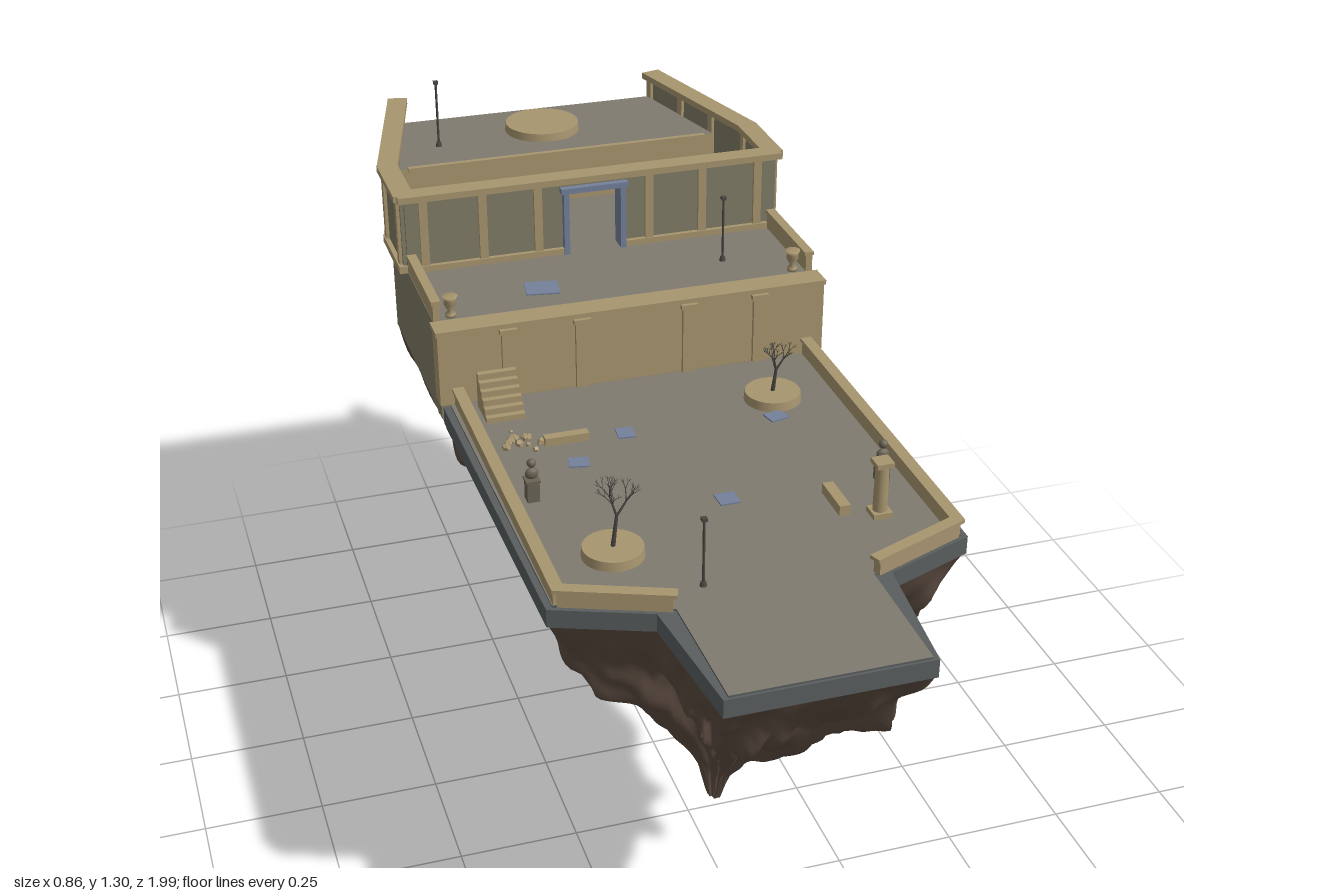
import * as THREE from 'three';

const mat = (color) => new THREE.MeshStandardMaterial({ color });
const tan = mat(0xa8956f), olive = mat(0x807b66), floorGrey = mat(0x7f7a6f), slate = mat(0x5a5e5f),
  rock = mat(0x5e4d42), blue = mat(0x74819a), dark = mat(0x4a4842), bronze = mat(0x6a6454);
rock.side = THREE.DoubleSide;

let seed = 11;
const rnd = () => (seed = (seed * 16807) % 2147483647) / 2147483647;
const mirror = (half) => [...half, ...half.slice().reverse().map(([x, z]) => [-x, z])];

export function createModel() {
  const root = new THREE.Group();

  const add = (name, geo, material, x = 0, y = 0, z = 0, parent = root) => {
    const m = new THREE.Mesh(geo, material);
    m.name = name;
    m.position.set(x, y, z);
    parent.add(m);
    return m;
  };
  // Box standing on y
  const box = (name, w, h, d, material, x, y, z, parent) =>
    add(name, new THREE.BoxGeometry(w, h, d), material, x, y + h / 2, z, parent);
  const disc = (name, r0, r1, h, material, x, y, z, parent, n = 24) =>
    add(name, new THREE.CylinderGeometry(r1, r0, h, n), material, x, y + h / 2, z, parent);
  // Vertical prism over an [x, z] outline
  const prism = (name, outline, y0, y1, material) => {
    const shape = new THREE.Shape(outline.map(([x, z]) => new THREE.Vector2(x, z)));
    const geo = new THREE.ExtrudeGeometry(shape, { depth: y1 - y0, bevelEnabled: false });
    geo.rotateX(Math.PI / 2);
    return add(name, geo, material, 0, y1, 0);
  };
  // Straight wall between two [x, z] points
  const wall = (name, a, b, t, y0, y1, material, extra = 0) => {
    const dx = b[0] - a[0], dz = b[1] - a[1];
    const m = box(name, Math.hypot(dx, dz) + extra, y1 - y0, t, material, (a[0] + b[0]) / 2, y0, (a[1] + b[1]) / 2);
    m.rotation.y = -Math.atan2(dz, dx);
    return m;
  };
  // Tapered round bar between two points
  const stick = (name, a, b, r0, r1, material, parent) => {
    const d = b.clone().sub(a);
    const m = add(name, new THREE.CylinderGeometry(r1, r0, d.length(), 6), material, 0, 0, 0, parent);
    m.position.copy(a).addScaledVector(d, 0.5);
    m.quaternion.setFromUnitVectors(new THREE.Vector3(0, 1, 0), d.normalize());
  };

  // Hanging rock: the outline shrinks down to a bent tip, with sharp ridges
  const hangingRock = (name, outline, yTop, tip, hook, scales, phase) => {
    const N = 200, M = 48, pos = [], idx = [];
    const path = new THREE.CurvePath();
    outline.forEach(([x, z], i) => {
      const [x2, z2] = outline[(i + 1) % outline.length];
      path.add(new THREE.LineCurve(new THREE.Vector2(x, z), new THREE.Vector2(x2, z2)));
    });
    const ring = path.getSpacedPoints(N);
    const crest = (v) => 0.64 - Math.abs(Math.sin(v));
    for (let j = 0; j <= M; j++) {
      const t = j / M, f = t * (scales.length - 1), k = Math.min(Math.floor(f), scales.length - 2);
      const s = THREE.MathUtils.lerp(scales[k], scales[k + 1], f - k);
      const bend = Math.max(0, t - 0.9) * 10 * hook;
      for (let i = 0; i < N; i++) {
        const a = (i / N) * Math.PI * 2;
        const w = a + 0.12 * Math.sin(t * 6 + phase + 3 * a) + 0.2 * Math.sin(2 * a + phase);
        const ridge = 0.6 * crest(9.5 * w + phase) + 0.45 * crest(5.5 * w + 2 * phase + t)
          + 0.3 * crest(17 * w + 3 * t) + 0.25 * Math.sin(13 * a + 17 * t + phase) + 0.22 * Math.sin(31 * a - 24 * t);
        const r = s * (1 + 0.14 * ridge * Math.min(1, t * 3.5));
        pos.push(tip[0] * t - bend + ring[i].x * r,
          yTop + (tip[1] - yTop) * t + 0.012 * Math.sin(11 * a + 9 * t) * Math.sin(Math.PI * t),
          tip[2] + bend + (ring[i].y - tip[2]) * r);
      }
    }
    for (let j = 0; j < M; j++) for (let i = 0; i < N; i++) {
      const a = j * N + i, b = j * N + (i + 1) % N;
      idx.push(a, b, a + N, b, b + N, a + N);
    }
    const geo = new THREE.BufferGeometry();
    geo.setAttribute('position', new THREE.Float32BufferAttribute(pos, 3));
    geo.setIndex(idx);
    geo.computeVertexNormals();
    add(name, geo, rock);
  };

  // Front terrace: slab, paved floor, low parapets
  const slab = mirror([[0.41, -0.12], [0.4, 0.65], [0.22, 0.72], [0.192, 0.99]]);
  const paving = mirror([[0.395, -0.12], [0.388, 0.645], [0.185, 0.72], [0.182, 0.985]]);
  prism('terraceSlab', slab, 0.83, 0.867, slate);
  prism('terraceFloor', paving, 0.86, 0.871, [floorGrey, slate]);
  hangingRock('frontRock', slab, 0.835, [0.012, 0.165, 0.39], 0.006,
    [1, 0.91, 0.805, 0.685, 0.545, 0.415, 0.285, 0.165, 0.075, 0.03], 0.7);
  for (const s of [-1, 1]) {
    const runs = [[[s * 0.378, -0.12], [s * 0.378, 0.645]], [[s * 0.378, 0.645], [s * 0.19, 0.72]]];
    for (const [a, b] of runs) {
      wall('terraceParapet', a, b, 0.016, 0.87, 0.9, tan);
      wall('terraceParapetCap', a, b, 0.024, 0.9, 0.907, tan, 0.015);
    }
  }

  // Rear block with paved top
  const block = mirror([[0.41, -0.14], [0.41, -0.6], [0.31, -0.985]]);
  prism('rearBlock', block, 0.83, 1.033, [floorGrey, olive]);
  hangingRock('rearRock', block, 0.835, [0, 0.005, -0.53], 0.025,
    [1, 0.92, 0.82, 0.7, 0.57, 0.45, 0.33, 0.215, 0.125, 0.06, 0.03], 2.9);

  // Retaining wall between the levels
  box('retainingWall', 0.83, 0.16, 0.045, tan, 0, 0.87, -0.145);
  box('retainingWallCap', 0.836, 0.01, 0.055, tan, 0, 1.026, -0.147);
  for (const x of [-0.27, -0.115, 0.115, 0.27]) {
    box('pilaster', 0.028, 0.15, 0.01, tan, x, 0.87, -0.119);
    box('pilasterHead', 0.036, 0.01, 0.014, tan, x, 1.016, -0.118);
  }
  for (const s of [-1, 1]) {
    wall('middleParapet', [s * 0.402, -0.18], [s * 0.402, -0.42], 0.014, 1.03, 1.068, tan);
    wall('middleParapetCap', [s * 0.402, -0.18], [s * 0.402, -0.42], 0.02, 1.068, 1.076, tan);
  }

  // Upper enclosure: panel walls, trims and pilasters, open at the back
  for (const s of [-1, 1]) {
    const p = [[0, -0.435], [0.409, -0.435], [0.409, -0.6], [0.308, -0.99]].map(([x, z]) => [s * x, z]);
    for (let i = 0; i < 3; i++) {
      const a = i ? p[i] : [s * 0.065, -0.435], b = p[i + 1];
      wall('upperWall', a, b, 0.016, 1.03, 1.195, olive);
      wall('upperWallBase', a, b, 0.036, 1.03, 1.046, tan, i ? 0.012 : 0);
      wall('upperWallRim', p[i], b, 0.044, 1.193, 1.207, tan, i ? 0.016 : 0.03);
      const stops = i === 0 ? [0.17, 0.52, 0.89] : i === 1 ? [0.1, 0.95] : [0.32, 0.64, 0.98];
      for (const t of stops) {
        const x = a[0] + (b[0] - a[0]) * t, z = a[1] + (b[1] - a[1]) * t;
        const m = box('upperPilaster', 0.018, 0.15, 0.03, tan, x, 1.045, z);
        m.rotation.y = -Math.atan2(b[1] - a[1], b[0] - a[0]);
      }
    }
    box('doorwayPost', 0.012, 0.145, 0.044, blue, s * 0.063, 1.03, -0.435);
  }
  // Open doorway head
  box('doorwayLintel', 0.148, 0.012, 0.046, blue, 0, 1.172, -0.435);
  box('doorwayPanel', 0.13, 0.016, 0.016, olive, 0, 1.18, -0.435);

  // Raised rear platform and round plinths
  const platformTop = 1.15;
  prism('rearPlatform', mirror([[0.366, -0.705], [0.295, -0.985]]), 1.03, platformTop, [floorGrey, tan]);
  wall('platformEdge', [-0.345, -0.705], [0.345, -0.705], 0.012, platformTop - 0.006, platformTop + 0.003, tan);
  disc('largePlinth', 0.085, 0.083, 0.018, tan, 0, platformTop, -0.855, root, 40);
  disc('smallPlinth', 0.046, 0.044, 0.02, tan, -0.27, 1.033, -0.615);

  // Lamp poles
  for (const [x, y, z, top] of [[-0.25, platformTop, -0.82, 1.303], [0.245, 1.033, -0.285, 1.18], [-0.117, 0.87, 0.665, 1.012]]) {
    disc('lampFoot', 0.007, 0.005, 0.01, dark, x, y, z, root, 10);
    disc('lampPole', 0.0026, 0.0026, top - y, dark, x, y, z, root, 8);
    box('lampHead', 0.01, 0.007, 0.01, dark, x, top - 0.007, z);
  }

  // Urns on the middle level
  const urnProfile = [[0, 0], [0.011, 0], [0.011, 0.006], [0.005, 0.013], [0.013, 0.028], [0.012, 0.037], [0.016, 0.046], [0, 0.042]];
  for (const x of [-0.37, 0.37])
    add('urn', new THREE.LatheGeometry(urnProfile.map(([r, y]) => new THREE.Vector2(r, y)), 16), tan, x, 1.033, -0.195);

  // Statues on pedestals
  for (const [x, z] of [[-0.33, 0.29], [0.325, 0.42]]) {
    const g = new THREE.Group();
    g.name = 'statue';
    g.position.set(x, 0.87, z);
    root.add(g);
    box('pedestal', 0.024, 0.042, 0.024, bronze, 0, 0, 0, g);
    box('pedestalCap', 0.028, 0.005, 0.028, bronze, 0, 0.042, 0, g);
    add('torso', new THREE.SphereGeometry(0.012, 12, 8), bronze, 0, 0.058, 0, g).scale.set(1.1, 1, 0.7);
    add('head', new THREE.SphereGeometry(0.009, 12, 8), bronze, 0, 0.08, 0, g);
  }

  // Bare trees in round planters
  const branch = (from, dir, len, r, depth, g) => {
    const to = from.clone().addScaledVector(dir, len);
    stick('branch', from, to, r, r * 0.65, dark, g);
    for (let i = 0; depth && i < 3; i++) {
      const turn = i * 2.1 + depth + rnd();
      const d = dir.clone().add(new THREE.Vector3(Math.cos(turn) * 0.6, rnd() * 0.3, Math.sin(turn) * 0.6)).normalize();
      branch(to, d, len * (0.5 + rnd() * 0.2), r * 0.55, depth - 1, g);
    }
  };
  for (const [x, z, len] of [[-0.24, 0.52, 0.066], [0.24, 0.05, 0.05]]) {
    const g = new THREE.Group();
    g.name = 'tree';
    g.position.set(x, 0.87, z);
    root.add(g);
    disc('planter', 0.059, 0.057, 0.02, tan, 0, 0, 0, g, 32);
    branch(new THREE.Vector3(0, 0.018, 0), new THREE.Vector3(0.1, 1, 0.05).normalize(), len, 0.0045, 4, g);
  }

  // Stair against the retaining wall
  for (let i = 0; i < 6; i++)
    box('stairStep', 0.08, 0.013 * (i + 1), 0.0135, tan, -0.303, 0.87, -0.026 - i * 0.0135);

  // Standing column, fallen pieces and rubble
  box('columnFoot', 0.038, 0.012, 0.038, tan, 0.273, 0.87, 0.535);
  disc('column', 0.014, 0.013, 0.098, tan, 0.273, 0.88, 0.535);
  box('columnHead', 0.034, 0.01, 0.034, tan, 0.273, 0.977, 0.535);
  box('bench', 0.022, 0.022, 0.09, tan, 0.21, 0.87, 0.475);
  box('fallenBeam', 0.09, 0.018, 0.02, tan, -0.21, 0.87, 0.095);
  for (const [cx, cy, cz, n, s] of [[-0.285, 0.87, 0.075, 14, 0.1], [0.235, 1.033, -0.65, 7, 0.07]])
    for (let i = 0; i < n; i++) {
      const r = 0.004 + rnd() * 0.006;
      const m = add('rubble', new THREE.DodecahedronGeometry(r), tan, cx + (rnd() - 0.5) * s, cy + r * 0.6, cz + (rnd() - 0.5) * s);
      m.rotation.set(rnd() * 3, rnd() * 3, 0);
    }

  // Flat blue paving plates
  for (const [x, y, z, w, d] of [[-0.16, 1.033, -0.265, 0.07, 0.06], [-0.09, 0.871, 0.1, 0.035, 0.04], [-0.21, 0.871, 0.185, 0.04, 0.035],
    [0.22, 0.871, 0.125, 0.04, 0.035], [0.02, 0.871, 0.4, 0.04, 0.04]])
    box('bluePlate', w, 0.003, d, blue, x, y, z).rotation.y = x;

  return root;
}
